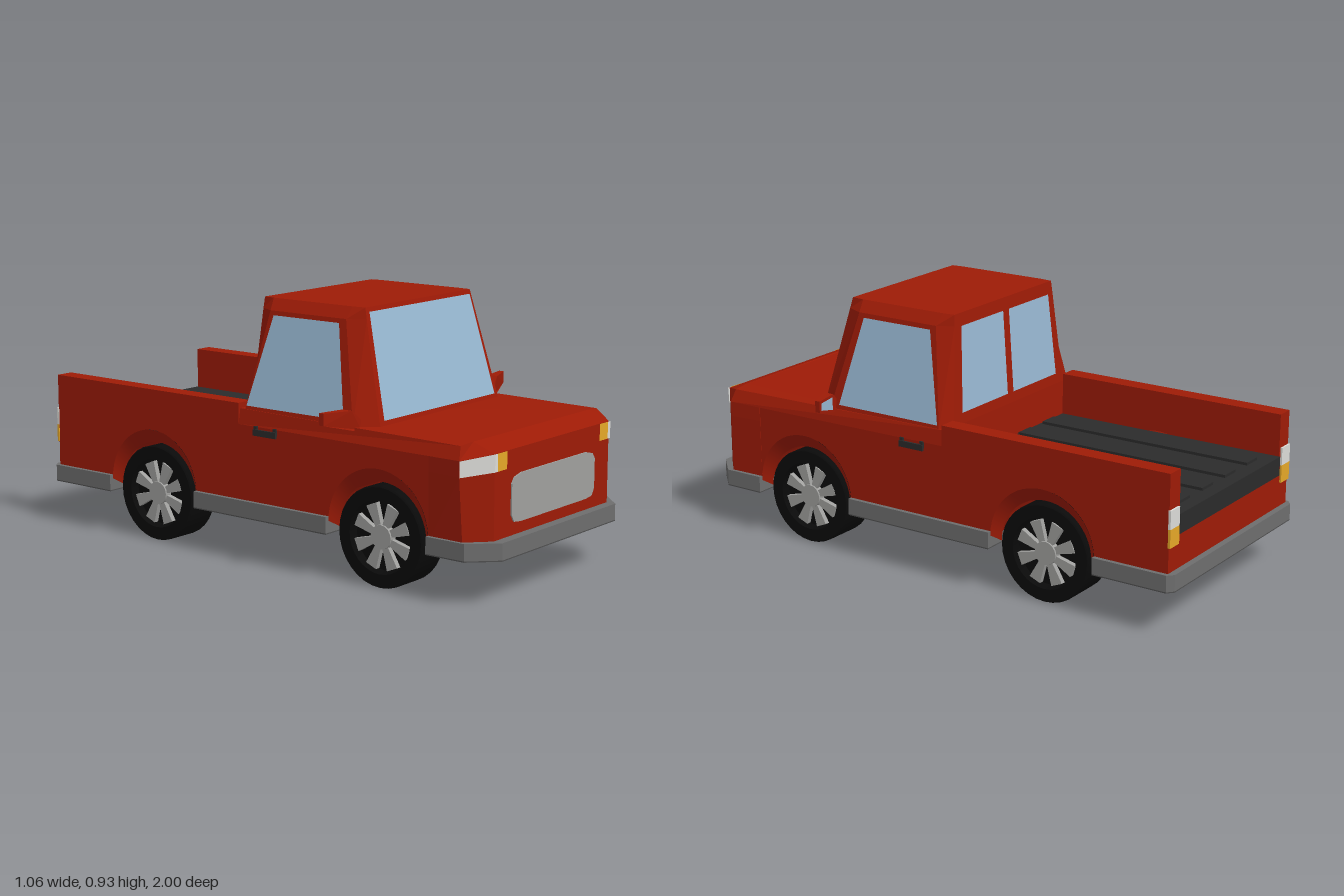
import * as THREE from 'three';
import { toCreasedNormals } from 'three/addons/utils/BufferGeometryUtils.js';

const paint = (name, color, side = THREE.FrontSide) =>
  Object.assign(new THREE.MeshStandardMaterial({ color, side }), { name });

// Non-indexed flat-faced geometry from a list of triangle corners
function facets(points) {
  const g = new THREE.BufferGeometry();
  g.setAttribute('position', new THREE.Float32BufferAttribute(points.flat(), 3));
  g.computeVertexNormals();
  return g;
}

// Skin over stacked half rings (+x side, front to back), mirrored to full rings
function loft(halfRings) {
  const rings = halfRings.map(h => [...h, ...h.map(([x, y, z]) => [-x, y, z]).reverse()]);
  const n = rings[0].length, tris = [];
  for (let r = 0; r < rings.length - 1; r++) {
    const a = rings[r], b = rings[r + 1];
    for (let i = 0; i < n; i++) {
      const j = (i + 1) % n;
      tris.push(a[i], a[j], b[j], a[i], b[j], b[i]);
    }
  }
  const top = rings[rings.length - 1], low = rings[0];
  for (let i = 1; i < n - 1; i++) tris.push(top[0], top[i], top[i + 1], low[0], low[i + 1], low[i]);
  return facets(tris);
}

const quad = (a, b, c, d) => facets([a, b, c, a, c, d]);
const outline = pts => new THREE.Shape(pts.map(p => new THREE.Vector2(...p)));

const box = (x0, x1, y0, y1, z0, z1) =>
  new THREE.BoxGeometry(x1 - x0, y1 - y0, z1 - z0)
    .translate((x0 + x1) / 2, (y0 + y1) / 2, (z0 + z1) / 2);

// Mirror across x = 0, keeping faces outward
function mirrored(geometry) {
  const g = geometry.index ? geometry.toNonIndexed() : geometry.clone();
  g.scale(-1, 1, 1);
  for (const attr of [g.attributes.position, g.attributes.normal]) {
    const a = attr.array;
    for (let i = 0; i < a.length; i += 9)
      for (let k = 0; k < 3; k++) [a[i + 3 + k], a[i + 6 + k]] = [a[i + 6 + k], a[i + 3 + k]];
  }
  return g;
}

const AXLES = [0.545, -0.485];
const ARCH_Y = 0.205;
const REAR = -0.977;

// Side panel with two wheel arches; tops is a list of [z, y] from rear to front
function archPanel(x0, x1, radius, tops) {
  const s = new THREE.Shape();
  s.moveTo(-0.76, ARCH_Y);
  for (const z of AXLES) {
    s.lineTo(-z - radius, ARCH_Y);
    s.absarc(-z, ARCH_Y, radius, Math.PI, 0, true);
  }
  s.lineTo(-REAR, ARCH_Y);
  for (const [z, y] of tops) s.lineTo(-z, y);
  return new THREE.ExtrudeGeometry(s, { depth: x1 - x0, bevelEnabled: false, curveSegments: 20 })
    .rotateY(Math.PI / 2).translate(x0, 0, 0);
}

export function createModel() {
  const truck = new THREE.Group();
  truck.name = 'pickupTruck';
  const red = paint('red paint', 0x9e1b06);
  const redInside = paint('red arch lining', 0x9e1b06, THREE.DoubleSide);
  const glass = paint('window glass', 0x98b8d2, THREE.DoubleSide);
  const grey = paint('bumper grey', 0x6e6e6e);
  const silver = paint('silver metal', 0xa0a09e);
  const dark = paint('dark liner', 0x2b2b2b);
  const under = paint('underside grey', 0x505050);
  const black = paint('tyre black', 0x0a0a0a);
  const white = paint('lamp white', 0xdcdcd8, THREE.DoubleSide);
  const amber = paint('lamp amber', 0xe6a828, THREE.DoubleSide);

  const add = (name, geometry, material, parent = truck) => {
    const m = new THREE.Mesh(geometry, material);
    m.name = name;
    parent.add(m);
    return m;
  };
  const both = (name, geometry, material) => {
    add(name + 'Left', geometry, material);
    add(name + 'Right', mirrored(geometry), material);
  };

  // Lower body
  both('sidePanel', archPanel(0.355, 0.422, 0.21,
    [[REAR, 0.565], [-0.07, 0.565], [-0.07, 0.49], [0.76, 0.49]]), red);
  both('wheelWell', archPanel(0.22, 0.355, 0.185, [[REAR, 0.395], [0.76, 0.395]]), red);
  add('chassisBlock', box(-0.22, 0.22, 0.2, 0.395, REAR, 0.76), red);
  add('cabinBase', box(-0.36, 0.36, 0.394, 0.5, -0.07, 0.76), red);

  // Sloping arch lips that close in around the tyres
  for (const z of AXLES) {
    const lip = new THREE.CylinderGeometry(0.21, 0.182, 0.03, 24, 1, true, Math.PI, Math.PI)
      .rotateZ(-Math.PI / 2).translate(0.408, ARCH_Y, z);
    const q = lip.attributes.position;
    for (let i = 0; i < q.count; i++) if (q.getX(i) < 0.4) q.setY(i, q.getY(i) - 0.022);
    lip.computeVertexNormals();
    both('wheelArchLip', lip, redInside);
  }

  // Nose and bonnet
  add('nose', loft([
    [[0.35, 0.2, 0.965], [0.425, 0.2, 0.894], [0.422, 0.2, 0.755]],
    [[0.35, 0.45, 0.965], [0.435, 0.435, 0.885], [0.424, 0.435, 0.755]],
    [[0.35, 0.51, 0.965], [0.435, 0.49, 0.885], [0.424, 0.49, 0.755]],
  ]), red);
  add('bonnet', loft([
    [[0.35, 0.51, 0.965], [0.435, 0.49, 0.885], [0.422, 0.49, -0.07]],
    [[0.35, 0.54, 0.88], [0.415, 0.535, 0.875], [0.412, 0.545, -0.07]],
  ]), red);

  // Cabin with cut corners
  add('cabin', loft([
    [[0.35, 0.54, 0.5], [0.41, 0.54, 0.43], [0.41, 0.54, -0.05], [0.35, 0.54, -0.072]],
    [[0.31, 0.89, 0.41], [0.34, 0.89, 0.345], [0.34, 0.89, 0.01], [0.31, 0.89, -0.048]],
    [[0.305, 0.93, 0.4], [0.31, 0.93, 0.35], [0.31, 0.93, 0.0], [0.305, 0.93, -0.045]],
  ]), red);

  // Windows, laid just over the sloping cabin faces
  const front = (x, y) => [x, y, 0.504 - (y - 0.54) * 0.256];
  const flank = (z, y) => [0.414 - (y - 0.54) * 0.2, y, z];
  const back = (x, y) => [x, y, -0.076 + (y - 0.54) * 0.069];
  add('windscreen', quad(front(-0.327, 0.557), front(0.327, 0.557),
    front(0.293, 0.915), front(-0.293, 0.915)), glass);
  both('sideWindow', quad(flank(0.39, 0.557), flank(-0.043, 0.557),
    flank(0.03, 0.875), flank(0.32, 0.875)), glass);
  both('rearWindow', quad(back(0.3, 0.58), back(0.018, 0.58),
    back(0.018, 0.885), back(0.275, 0.885)), glass);

  // Load bed
  add('bedFloor', box(-0.356, 0.356, 0.394, 0.41, REAR, -0.069), dark);
  add('bedFloorEdge', box(-0.356, 0.356, 0.34, 0.41, REAR - 0.004, REAR + 0.004), dark);
  for (const x of [-0.24, -0.08, 0.08, 0.24])
    add('bedRib', box(x - 0.038, x + 0.038, 0.405, 0.42, -0.93, -0.08), dark);

  // Bumper and sill band with wheel notches, and the floor pan below
  const half = [[0.35, 1], [0.438, 0.91], [0.438, 0.755], [0.22, 0.755], [0.22, 0.335],
    [0.438, 0.335], [0.438, -0.275], [0.22, -0.275], [0.22, -0.695], [0.438, -0.695],
    [0.438, -0.98], [0.415, -1]];
  const plan = outline([...half, ...half.map(([x, z]) => [-x, z]).reverse()].map(([x, z]) => [x, -z]));
  const slab = (y, depth) => new THREE.ExtrudeGeometry(plan, { depth, bevelEnabled: false })
    .rotateX(-Math.PI / 2).translate(0, y, 0);
  add('bumperBand', slab(0.162, 0.058), grey);
  add('floorPan', slab(0.158, 0.004), under);

  // Grille with clipped corners
  const grille = outline([[-0.255, 0.29], [-0.24, 0.265], [-0.2, 0.26], [0.2, 0.26],
    [0.24, 0.265], [0.255, 0.29], [0.255, 0.395], [0.24, 0.415], [0.2, 0.425], [-0.2, 0.425],
    [-0.24, 0.415], [-0.255, 0.395]]);
  add('grille', new THREE.ExtrudeGeometry(grille, { depth: 0.006, bevelEnabled: false })
    .translate(0, 0, 0.964), silver);

  // Lamps
  both('headlamp', facets([
    [0.354, 0.45, 0.969], [0.439, 0.435, 0.889], [0.439, 0.49, 0.889],
    [0.354, 0.45, 0.969], [0.439, 0.49, 0.889], [0.354, 0.51, 0.969],
    [0.338, 0.45, 0.969], [0.354, 0.45, 0.969], [0.354, 0.51, 0.969],
    [0.338, 0.45, 0.969], [0.354, 0.51, 0.969], [0.338, 0.51, 0.969]]), white);
  both('indicator', quad([0.285, 0.45, 0.969], [0.338, 0.45, 0.969],
    [0.338, 0.51, 0.969], [0.285, 0.51, 0.969]), amber);
  both('tailLampUpper', box(0.365, 0.425, 0.375, 0.44, REAR - 0.007, REAR + 0.002), white);
  both('tailLampLower', box(0.365, 0.425, 0.31, 0.375, REAR - 0.007, REAR + 0.002), amber);

  // Door mirrors, swept back and fuller near the door
  const housing = new THREE.ExtrudeGeometry(outline([[0.39, 0.53], [0.41, 0.527], [0.53, 0.558],
    [0.53, 0.6], [0.43, 0.6], [0.39, 0.565]]), { depth: 0.02, bevelEnabled: false })
    .translate(0, 0, 0.405);
  const sweep = x => (0.41 - x) * 0.2;
  const p = housing.attributes.position;
  for (let i = 0; i < p.count; i++) {
    const x = p.getX(i), z = p.getZ(i);
    p.setZ(i, z + sweep(x) + (z > 0.41 && x < 0.5 ? 0.02 : 0));
  }
  housing.computeVertexNormals();
  both('doorMirror', housing, red);
  const mirrorPoint = (x, y) => [x, y, 0.401 + sweep(x)];
  both('mirrorGlass', quad(mirrorPoint(0.522, 0.565), mirrorPoint(0.44, 0.545),
    mirrorPoint(0.44, 0.592), mirrorPoint(0.522, 0.592)), glass);

  // Door handles
  both('doorHandle', box(0.426, 0.434, 0.46, 0.482, 0.005, 0.108), dark);
  for (const z of [0.006, 0.093]) both('handleMount', box(0.415, 0.43, 0.468, 0.493, z, z + 0.014), dark);

  // Wheels: tyre with a recessed face, flared spokes and a hub; [inner, outer] x for each side
  const spoke = new THREE.ExtrudeGeometry(outline([[0.03, -0.011], [0.116, -0.023],
    [0.116, 0.023], [0.03, 0.011]]), { depth: 0.02, bevelEnabled: false }).rotateX(-Math.PI / 2);
  const hub = new THREE.CylinderGeometry(0.042, 0.045, 0.025, 16);
  for (const [side, inner, outer] of [[1, 0.26, 0.405], [-1, 0.287, 0.41]]) {
    const h = (outer - inner) / 2;
    const tyre = toCreasedNormals(new THREE.LatheGeometry([[0, -h], [0.176, -h], [0.176, h - 0.004],
      [0.172, h], [0.128, h], [0.12, h - 0.03], [0, h - 0.03]]
      .map(q => new THREE.Vector2(...q)), 32), 0.5);
    for (const z of AXLES) {
      const wheel = new THREE.Group();
      wheel.name = 'wheel';
      add('tyre', tyre, black, wheel);
      add('hub', hub, silver, wheel).position.y = h - 0.018;
      for (let i = 0; i < 8; i++) {
        const s = add('spoke', spoke, silver, wheel);
        s.position.y = h - 0.031;
        s.rotation.y = (i + 0.5) * Math.PI / 4;
      }
      wheel.rotation.z = -side * Math.PI / 2;
      wheel.position.set(side * (inner + outer) / 2, 0.177, z);
      truck.add(wheel);
    }
  }
  return truck;
}
